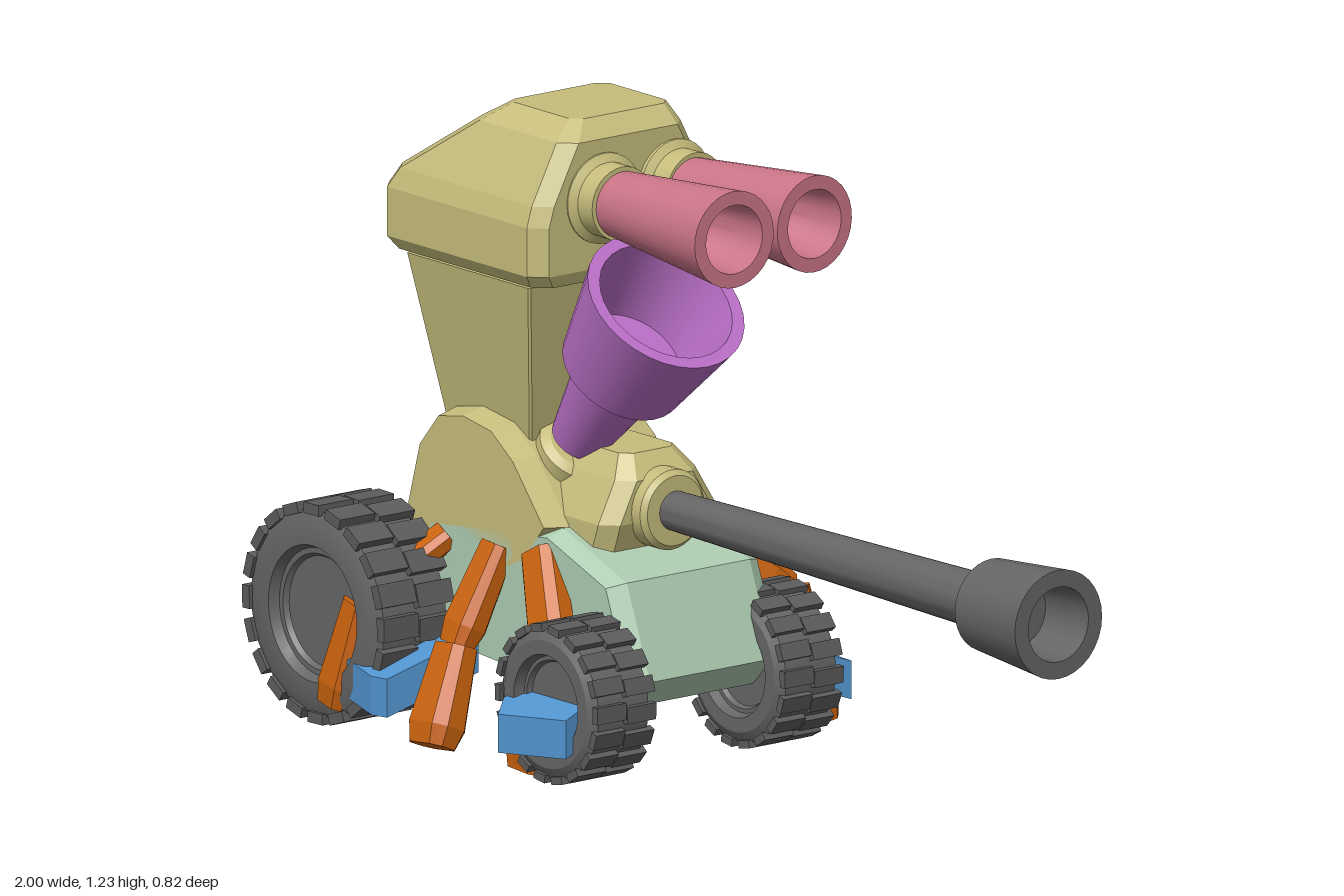
import * as THREE from 'three';
import { toCreasedNormals } from 'three/addons/utils/BufferGeometryUtils.js';
import { ConvexGeometry } from 'three/addons/geometries/ConvexGeometry.js';

const V = (x, y, z) => new THREE.Vector3(x, y, z);
const mat = (color) => new THREE.MeshStandardMaterial({ color });
const TAN = mat(0xc6bd7c), PINK = mat(0xcb7588), PURPLE = mat(0xb96fc6), GREEN = mat(0xadcbb1);
const ORANGE = mat(0xc9620e), BLUE = mat(0x5294cf), GREY = mat(0x656565), TREAD = mat(0x5c5c5c);

export function createModel() {
  const root = new THREE.Group();

  function add(name, geometry, material, parent = root) {
    const m = new THREE.Mesh(geometry, material);
    m.name = name;
    parent.add(m);
    return m;
  }

  // Turned part: profile of [radius, distance along axis], placed at a point and aimed
  function turned(name, profile, at, dir, material, parent = root, sides = 32) {
    const g = new THREE.LatheGeometry(profile.map(([r, y]) => new THREE.Vector2(r, y)), sides);
    const m = add(name, toCreasedNormals(g, 0.5), material, parent);
    m.position.copy(at);
    m.quaternion.setFromUnitVectors(V(0, 1, 0), dir.clone().normalize());
  }

  // Faceted solid from rectangles stacked in y: [y, x0, x1, z0, z1, corner cut]
  function stacked(name, layers, material) {
    const pts = [];
    for (const [y, x0, x1, z0, z1, c] of layers) {
      for (const [x, sx] of [[x0, 1], [x1, -1]]) {
        for (const [z, sz] of [[z0, 1], [z1, -1]]) {
          pts.push(V(x + sx * c, y, z), V(x, y, z + sz * c));
        }
      }
    }
    add(name, new ConvexGeometry(pts), material);
  }

  // Profile in x-y, full size in the middle and pulled in towards each side
  function slab(name, profile, z0, z1, inset, shrink, material) {
    const cx = profile.reduce((s, p) => s + p[0], 0) / profile.length;
    const cy = profile.reduce((s, p) => s + p[1], 0) / profile.length;
    const pts = [];
    for (const [x, y] of profile) {
      pts.push(V(x, y, z0 + inset), V(x, y, z1 - inset));
      const sx = cx + (x - cx) * shrink, sy = cy + (y - cy) * shrink;
      pts.push(V(sx, sy, z0), V(sx, sy, z1));
    }
    add(name, new ConvexGeometry(pts), material);
  }

  // Lower hull, with a sloping flank on the far side
  slab('lowerHull', [[-0.74, 0.24], [-0.68, 0.42], [-0.3, 0.46], [-0.11, 0.39], [-0.04, 0.21],
    [-0.1, 0.15], [-0.35, 0.16], [-0.62, 0.18]], -0.168, 0.2, 0.035, 0.92, GREEN);
  stacked('hullFlank', [[0.3, -0.62, -0.22, -0.17, 0.05, 0.03], [0.38, -0.64, -0.2, -0.195, 0.05, 0.04],
    [0.54, -0.6, -0.36, -0.125, 0.05, 0.02]], GREEN);

  // Upper hull
  slab('upperHull', [[-0.74, 0.42], [-0.7, 0.56], [-0.64, 0.63], [-0.56, 0.645], [-0.47, 0.63],
    [-0.4, 0.58], [-0.3, 0.46], [-0.37, 0.38], [-0.5, 0.32], [-0.68, 0.32]], -0.145, 0.2, 0.05, 0.93, TAN);

  // Gun mount and cannon with hollow muzzle
  stacked('gunMount', [[0.41, -0.42, -0.21, -0.135, 0.15, 0.03], [0.48, -0.42, -0.185, -0.135, 0.15, 0.03],
    [0.56, -0.42, -0.185, -0.085, 0.11, 0.03], [0.605, -0.42, -0.22, -0.05, 0.08, 0.02]], TAN);
  const X = V(1, 0, 0);
  turned('gunCollar', [[0, 0], [0.078, 0], [0.078, 0.05], [0.068, 0.06], [0, 0.06]], V(-0.21, 0.5, 0.015), X, TAN);
  turned('cannon', [[0.038, 0], [0.053, 0.92], [0.09, 0.96], [0.106, 1.16], [0.073, 1.16],
    [0.066, 1.04], [0, 1.04]], V(-0.16, 0.5, 0.015), X, GREY);

  // Neck and head
  stacked('neck', [[0.6, -0.685, -0.43, -0.1, 0.14, 0.004], [0.92, -0.73, -0.36, -0.17, 0.2, 0.004]], TAN);
  stacked('head', [[0.925, -0.775, -0.32, -0.205, 0.205, 0.03], [0.95, -0.79, -0.31, -0.222, 0.222, 0.03],
    [1.045, -0.79, -0.31, -0.222, 0.222, 0.03], [1.085, -0.765, -0.31, -0.21, 0.21, 0.03],
    [1.2, -0.6, -0.31, -0.15, 0.15, 0.03], [1.235, -0.55, -0.345, -0.135, 0.1, 0.02]], TAN);

  // Twin tubes on the head, with a small core disc inside each bore
  for (const [z, dz] of [[0.06, 0.01], [-0.11, -0.015]]) {
    const dir = V(0.35, 0, dz);
    turned('tubeCollar', [[0, 0], [0.088, 0], [0.088, 0.035], [0.072, 0.045], [0.072, 0.09], [0, 0.09]],
      V(-0.34, 1.085, z), dir, TAN);
    turned('headTube', [[0, 0], [0.064, 0], [0.094, 0.355], [0.067, 0.355], [0.05, 0.16], [0.03, 0.1],
      [0.03, 0.17], [0, 0.17]], V(-0.26, 1.083, z), dir, PINK);
  }

  // Upturned horn
  const hornDir = V(0.64, 0.77, 0);
  turned('hornCollar', [[0, 0], [0.078, 0], [0.078, 0.06], [0.06, 0.07], [0, 0.07]], V(-0.42, 0.54, 0.065), hornDir, TAN);
  turned('horn', [[0, 0], [0.055, 0], [0.088, 0.19], [0.124, 0.205], [0.162, 0.41], [0.137, 0.41],
    [0.105, 0.24], [0, 0.24]], V(-0.372, 0.608, 0.07), hornDir, PURPLE);

  // Wheels: recessed rims on both faces and staggered tread blocks
  function wheel(name, x, y, r, z0, z1, count) {
    const g = new THREE.Group();
    g.name = name;
    g.position.set(x, y, (z0 + z1) / 2);
    root.add(g);
    const h = (z1 - z0) / 2, b = r * 0.93;
    const half = [[0, h - 0.03], [r * 0.5, h - 0.03], [r * 0.53, h - 0.02], [r * 0.58, h - 0.02],
      [r * 0.62, h], [r * 0.8, h], [b, h - 0.012]];
    const profile = [...half.map(([a, t]) => [a, -t]), ...half.slice().reverse()];
    turned('tyre', profile, V(0, 0, 0), V(0, 0, 1), GREY, g, 40);
    const block = new THREE.BoxGeometry(r * 0.1, r * 0.21, h * 0.97);
    for (let i = 0; i < count; i++) {
      for (const s of [-1, 1]) {
        const a = ((i + s * 0.09) / count) * Math.PI * 2;
        const m = add('treadBlock', block, TREAD, g);
        m.position.set(Math.cos(a) * r * 0.945, Math.sin(a) * r * 0.945, s * h * 0.5);
        m.rotation.z = a;
      }
    }
  }
  wheel('rearWheelNear', -0.782, 0.235, 0.214, 0.209, 0.385, 20);
  wheel('rearWheelFar', -0.782, 0.235, 0.214, -0.312, -0.148, 20);
  wheel('frontWheelNear', -0.125, 0.18, 0.155, 0.205, 0.35, 18);
  wheel('frontWheelFar', -0.125, 0.18, 0.155, -0.25, -0.105, 18);

  // Jointed leg: tapered bars with cut corners, [x, y, z, width] at each joint
  function leg(name, joints) {
    const g = new THREE.Group();
    g.name = name;
    root.add(g);
    for (let i = 0; i < joints.length - 1; i++) {
      const a = V(...joints[i]), b = V(...joints[i + 1]);
      const d = b.clone().sub(a).normalize();
      const n = d.clone().cross(X).normalize(), s = n.clone().cross(d);
      const pts = [];
      const ring = (c, w, t) => {
        for (const [u, v] of [[1, 0.5], [0.6, 1], [-0.6, 1], [-1, 0.5], [-1, -0.5], [-0.6, -1], [0.6, -1], [1, -0.5]]) {
          pts.push(c.clone().addScaledVector(s, u * w / 2).addScaledVector(n, v * t / 2));
        }
      };
      const w0 = joints[i][3], w1 = joints[i + 1][3];
      ring(a, w0, w0 * 0.75);
      ring(a.clone().lerp(b, 0.8), w1, w1 * 0.78);
      ring(b, w1 * 0.85, w1 * 0.6);
      add(i ? 'lowerLeg' : 'upperLeg', new ConvexGeometry(pts), ORANGE, g);
    }
  }
  leg('frontLegNear', [[-0.335, 0.41, 0.19, 0.08], [-0.225, 0.255, 0.25, 0.09], [-0.24, 0.02, 0.29, 0.12]]);
  leg('middleLegNear', [[-0.465, 0.4, 0.19, 0.07], [-0.48, 0.215, 0.28, 0.085], [-0.46, 0.035, 0.355, 0.11]]);
  leg('rearLegNear', [[-0.62, 0.39, 0.19, 0.06], [-0.69, 0.27, 0.345, 0.065], [-0.74, 0.065, 0.365, 0.085]]);
  leg('frontLegFar', [[-0.335, 0.41, -0.15, 0.085], [-0.255, 0.275, -0.335, 0.1], [-0.21, 0.02, -0.37, 0.12]]);
  leg('middleLegFar', [[-0.52, 0.4, -0.16, 0.07], [-0.53, 0.26, -0.28, 0.085], [-0.56, 0.04, -0.31, 0.11]]);
  leg('rearLegFar', [[-0.64, 0.37, -0.16, 0.06], [-0.69, 0.26, -0.28, 0.065], [-0.75, 0.065, -0.295, 0.08]]);

  // Bent guards outside the wheels: plan outline of [x, z], dropping as they reach outwards
  function guard(name, plan, inner) {
    const pts = [];
    for (const [x, z] of plan) {
      const y = 0.195 - 0.35 * (Math.abs(z) - inner);
      pts.push(V(x, y + 0.025, z), V(x, y - 0.05, z));
    }
    add(name, new ConvexGeometry(pts), BLUE);
  }
  guard('frontGuardNear', [[-0.28, 0.22], [-0.24, 0.36], [-0.2, 0.405], [-0.04, 0.37], [-0.06, 0.24]], 0.22);
  guard('rearGuardNear', [[-0.5, 0.21], [-0.54, 0.4], [-0.58, 0.405], [-0.72, 0.37], [-0.66, 0.24]], 0.22);
  guard('frontGuardFar', [[-0.25, -0.18], [-0.23, -0.34], [-0.18, -0.375], [-0.035, -0.32], [-0.06, -0.24]], 0.2);
  guard('rearGuardFar', [[-0.43, -0.23], [-0.53, -0.37], [-0.57, -0.365], [-0.69, -0.32], [-0.6, -0.17]], 0.2);

  return root;
}
